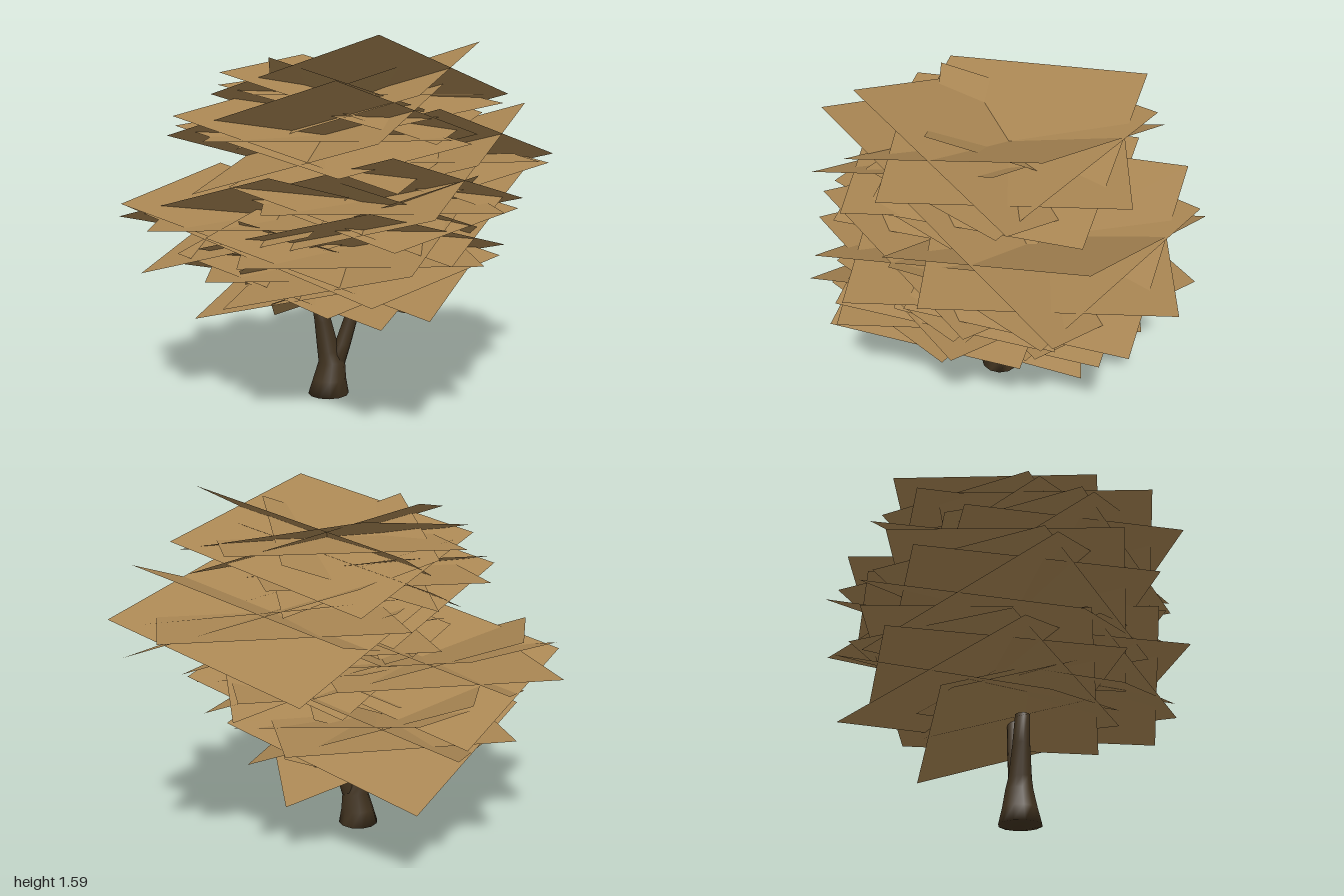
import * as THREE from 'three';

const leafMaterial = new THREE.MeshStandardMaterial({ color: 0xa98653, side: THREE.DoubleSide, flatShading: true });
const barkMaterial = new THREE.MeshStandardMaterial({ color: 0x40321f });

// Flat card whose corners are +u, +v, -u, -v around its centre
function leafCard(u, v) {
  const geometry = new THREE.BufferGeometry();
  const corners = [u, v, u.map((n) => -n), v.map((n) => -n)].flat();
  geometry.setAttribute('position', new THREE.Float32BufferAttribute(corners, 3));
  geometry.setIndex([0, 1, 2, 0, 2, 3]);
  geometry.computeVertexNormals();
  const mesh = new THREE.Mesh(geometry, leafMaterial);
  mesh.name = 'leafCard';
  return mesh;
}

// Group of crossed cards sharing one centre
function foliage(name, cards, centre) {
  const cluster = new THREE.Group();
  cluster.name = name;
  cards.forEach(([u, v]) => cluster.add(leafCard(u, v)));
  cluster.position.set(...centre);
  return cluster;
}

// Limb with round sections: each station is [x, y, z, radius]
function limb(stations, sides, name) {
  const positions = [];
  const index = [];
  stations.forEach(([x, y, z, r], i) => {
    for (let j = 0; j < sides; j++) {
      const a = (j / sides) * Math.PI * 2;
      positions.push(x + r * Math.cos(a), y, z + r * Math.sin(a));
      if (i === 0) continue;
      const k = (j + 1) % sides;
      const low = (i - 1) * sides;
      const high = i * sides;
      index.push(low + j, high + j, low + k, low + k, high + j, high + k);
    }
  });
  // End caps
  const last = (stations.length - 1) * sides;
  for (let j = 1; j < sides - 1; j++) {
    index.push(0, j, j + 1, last, last + j + 1, last + j);
  }
  const geometry = new THREE.BufferGeometry();
  geometry.setAttribute('position', new THREE.Float32BufferAttribute(positions, 3));
  geometry.setIndex(index);
  geometry.computeVertexNormals();
  const mesh = new THREE.Mesh(geometry, barkMaterial);
  mesh.name = name;
  return mesh;
}

export function createModel() {
  const tree = new THREE.Group();
  tree.name = 'tree';

  // Forked trunk with a flared foot
  const trunk = new THREE.Group();
  trunk.name = 'trunk';
  trunk.add(
    limb([[-0.07, 0, 0.015, 0.092], [-0.065, 0.07, 0.015, 0.075], [-0.055, 0.15, 0.015, 0.06],
      [-0.07, 0.2, 0.015, 0.05], [-0.095, 0.34, 0.015, 0.038], [-0.12, 0.46, 0.015, 0.032]], 12, 'mainStem'),
    limb([[-0.045, 0.12, 0.015, 0.045], [-0.005, 0.23, 0.015, 0.037], [0.035, 0.36, 0.012, 0.031],
      [0.05, 0.48, 0.01, 0.025], [0.09, 0.6, 0.01, 0.018], [0.12, 0.75, 0.005, 0.01]], 10, 'sideBranch')
  );
  tree.add(trunk);

  // Half diagonals of the five crossed cards in each large cluster
  const largeCards = [
    [[0.66, 0, -0.02], [0.02, 0.225, 0.61]],
    [[0.55, 0.235, -0.14], [0.17, 0, 0.645]],
    [[0.47, 0, 0.47], [-0.47, 0, 0.47]],
    [[-0.25, 0.19, -0.56], [-0.6, 0.09, 0.29]],
    [[0.63, -0.04, 0.02], [-0.03, 0.13, -0.59]],
  ];
  const largeCentres = [
    [0.08, 1.35, -0.03], [-0.09, 1.18, 0.15], [0.34, 1.07, -0.2], [0.12, 0.9, 0.13],
    [-0.34, 0.81, -0.07], [0.03, 0.705, 0.19], [-0.12, 0.585, -0.14],
  ];
  largeCentres.forEach((centre) => tree.add(foliage('foliageCluster', largeCards, centre)));

  // Smaller pairs of cards inside the crown, each rising to a front corner
  const smallCards = [-1, 1].map((s) => [[s * 0.32, 0.21, 0.33], [s * 0.32, 0, -0.32]]);
  const smallCentres = [[0, 1.29, -0.05], [0.2, 0.82, 0.09], [-0.13, 0.63, 0], [0, 0.48, -0.04]];
  smallCentres.forEach((centre) => tree.add(foliage('innerFoliage', smallCards, centre)));

  return tree;
}
